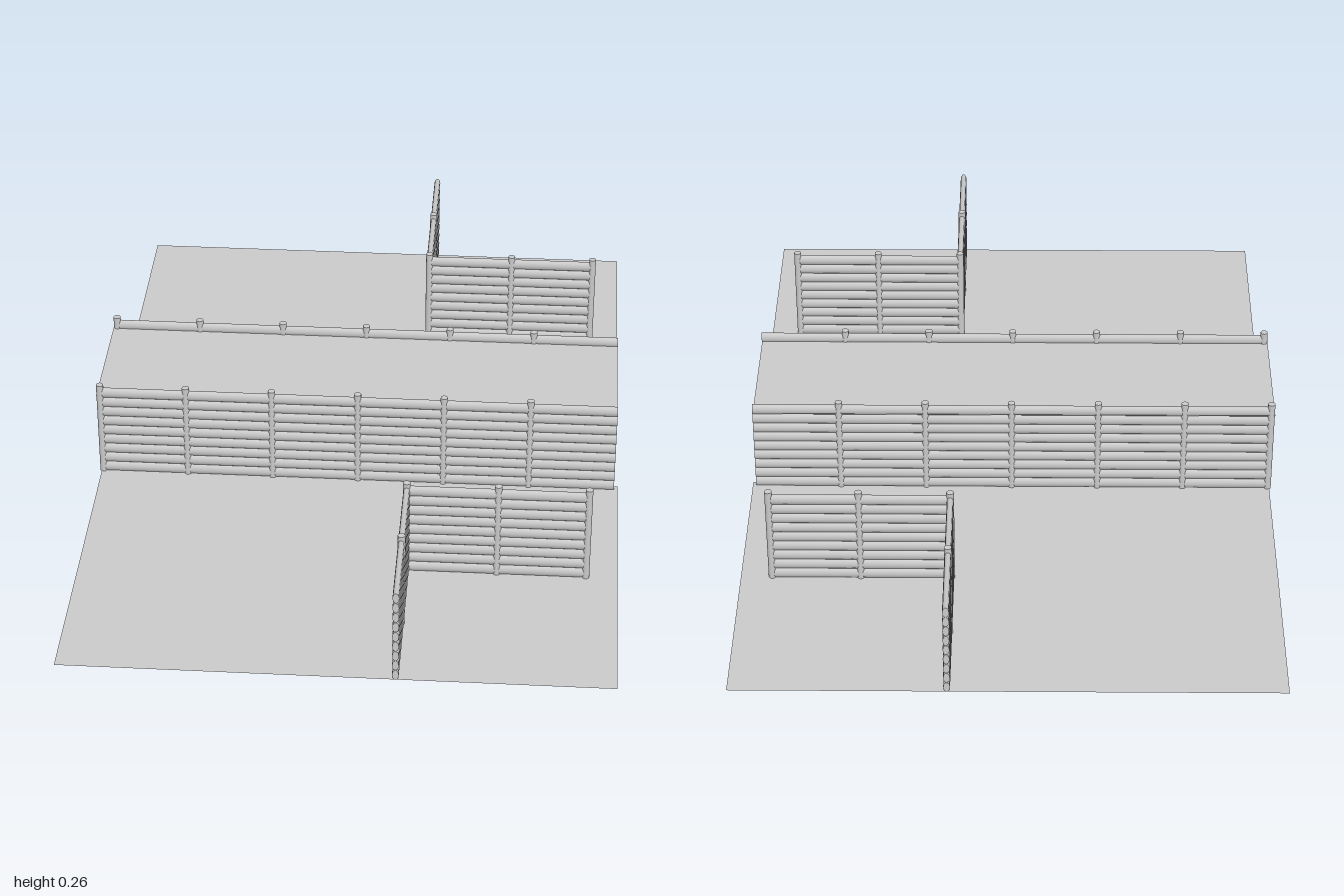
import * as THREE from 'three';

const PANEL = 0.222, LOGS = 9, PITCH = 0.0283, POST_H = 0.264;

export function createModel() {
  const model = new THREE.Group();
  const material = new THREE.MeshStandardMaterial({ color: 0xcccccc });
  const sheetMaterial = new THREE.MeshStandardMaterial({ color: 0xcccccc, side: THREE.DoubleSide });

  // log lying along x, slightly flattened; post standing on the ground
  const logGeo = new THREE.CylinderGeometry(PITCH / 2, PITCH / 2, PANEL, 10)
    .rotateZ(Math.PI / 2).scale(1, 1, 0.58);
  const postGeo = new THREE.CylinderGeometry(0.0095, 0.0095, POST_H, 10)
    .translate(0, POST_H / 2, 0);

  function add(parent, geometry, name, x, y, z, mat = material) {
    const mesh = new THREE.Mesh(geometry, mat);
    mesh.name = name;
    mesh.position.set(x, y, z);
    parent.add(mesh);
  }

  // run of log panels along local x, with a post at the start of each
  function fence(name, panels, x, z, turn = 0) {
    const group = new THREE.Group();
    group.name = name;
    for (let p = 0; p < panels; p++) {
      add(group, postGeo, 'post', p * PANEL, 0, 0);
      for (let i = 0; i < LOGS; i++) {
        add(group, logGeo, 'log', (p + 0.5) * PANEL, (i + 0.5) * PITCH, 0);
      }
    }
    group.position.set(x, 0, z);
    group.rotation.y = turn;
    model.add(group);
    return group;
  }

  function sheet(name, x0, x1, y, z0, z1) {
    const geo = new THREE.PlaneGeometry(x1 - x0, z1 - z0).rotateX(-Math.PI / 2);
    add(model, geo, name, (x0 + x1) / 2, y, (z0 + z1) / 2, sheetMaterial);
  }

  // trench walls and the roof between them
  fence('frontTrenchWall', 6, -0.668, 0.167);
  fence('backTrenchWall', 6, -0.668, -0.167);
  sheet('roof', -0.678, 0.663, 0.232, -0.175, 0.172);

  // ground on both sides of the trench, with an L-shaped fence on each
  for (const s of [1, -1]) {
    const side = s > 0 ? 'front' : 'back';
    sheet(side + 'Ground', -0.673, 0.673, 0.001, s > 0 ? 0.155 : -1, s > 0 ? 1 : -0.155);
    // leg reaching the outer edge
    fence(side + 'OuterFence', 2, 0.146, s * 0.556, -s * Math.PI / 2);
    // leg parallel to the trench, starting from its far post
    fence(side + 'InnerFence', 2, 0.594, s * 0.556, Math.PI);
  }
  return model;
}
